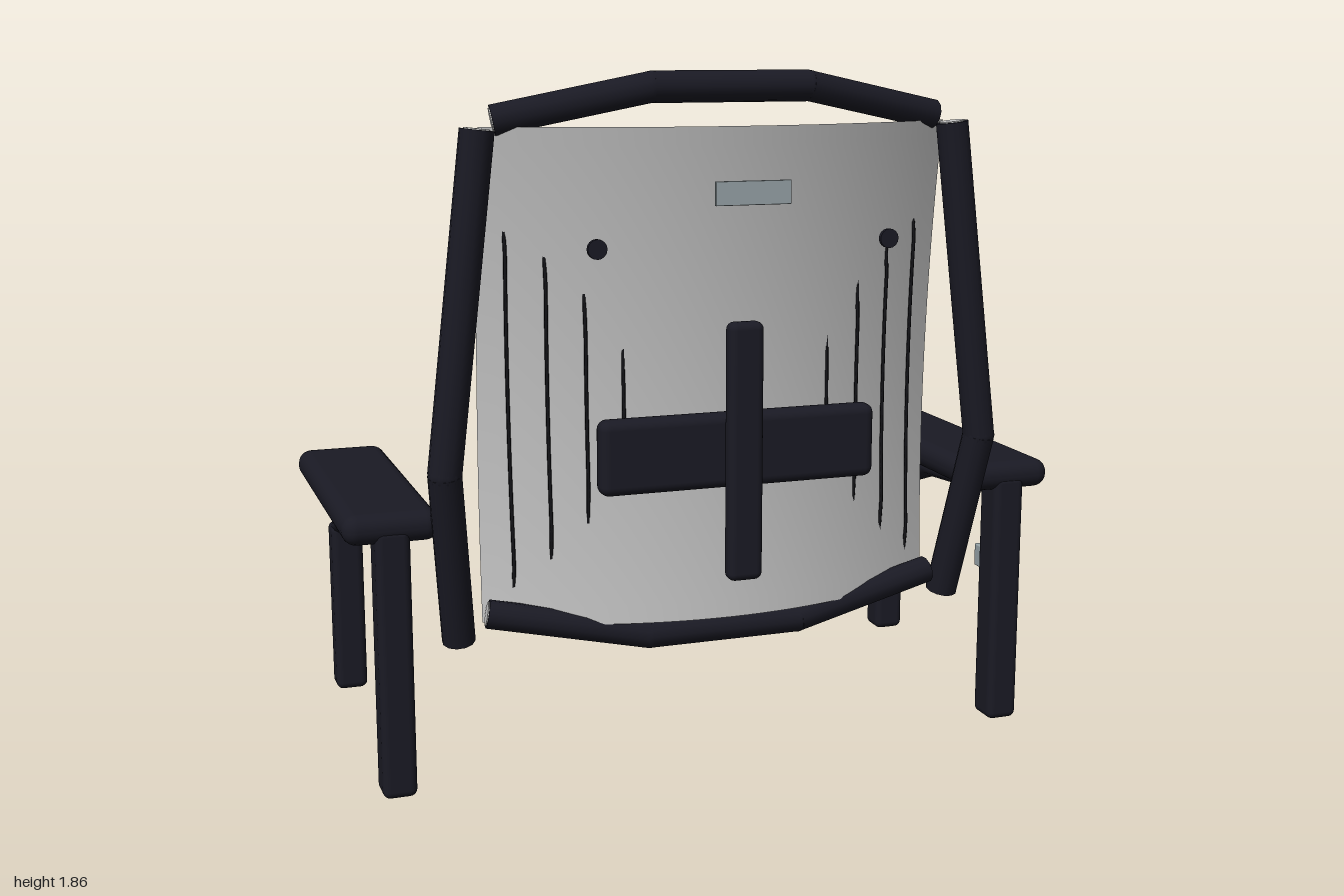
import * as THREE from 'three';
import { RoundedBoxGeometry } from 'three/addons/geometries/RoundedBoxGeometry.js';

const mat = (name, color) => {
  const m = new THREE.MeshStandardMaterial({ color });
  m.name = name;
  return m;
};
const V = (x, y, z) => new THREE.Vector3(x, y, z);
const { smoothstep, clamp, lerp } = THREE.MathUtils;

// depth of the saddle-shaped back shell at a point
const shellZ = (x, y) => {
  const t = (y - 0.43) / 1.29;
  return 0.22 + 0.165 * (t - 0.3) ** 2 + 0.168 * (1 - (x / 0.635) ** 2);
};

export function createModel() {
  const dark = mat('charcoal', 0x1a1a24);
  const grey = mat('shellGrey', 0xc4c4c4);
  grey.side = THREE.DoubleSide;
  const steel = mat('steelGrey', 0x98a4a8);
  const black = mat('wireBlack', 0x141418);
  const model = new THREE.Group();
  model.name = 'chair';

  const add = (name, geometry, material, parent = model) => {
    const m = new THREE.Mesh(geometry, material);
    m.name = name;
    parent.add(m);
    return m;
  };
  const box = (name, size, pos, radius, material = dark, parent = model) => {
    const m = add(name, new RoundedBoxGeometry(...size, 3, radius), material, parent);
    m.position.set(...pos);
    return m;
  };
  // straight bars with round knuckles at the bends
  const bar = (name, points, radius, parent = model) => {
    const group = new THREE.Group();
    group.name = name;
    parent.add(group);
    for (let i = 0; i < points.length - 1; i++) {
      const a = points[i], b = points[i + 1];
      const dir = b.clone().sub(a);
      const seg = add(name + 'Section', new THREE.CylinderGeometry(radius, radius, dir.length(), 12), dark, group);
      seg.position.copy(a).lerp(b, 0.5);
      seg.quaternion.setFromUnitVectors(V(0, 1, 0), dir.normalize());
      if (i > 0) add(name + 'Bend', new THREE.SphereGeometry(radius, 12, 8), dark, group).position.copy(a);
    }
    return group;
  };
  // pale disc closing the end of a bar that arrives from another point
  const endCap = (name, end, from, radius, parent) => {
    const cap = add(name, new THREE.CylinderGeometry(radius, radius, 0.006, 12), grey, parent);
    cap.position.copy(end);
    cap.quaternion.setFromUnitVectors(V(0, 1, 0), end.clone().sub(from).normalize());
  };
  const wire = (name, points, parent) =>
    add(name, new THREE.TubeGeometry(new THREE.CatmullRomCurve3(points), 48, 0.005, 5), black, parent);

  // curved back shell
  const shell = new THREE.PlaneGeometry(1.27, 1.29, 28, 28);
  shell.translate(0, 1.075, 0);
  const p = shell.attributes.position;
  for (let i = 0; i < p.count; i++) p.setZ(i, shellZ(p.getX(i), p.getY(i)));
  shell.computeVertexNormals();
  add('backShell', shell, grey);

  // frame around the shell
  const topRail = [V(-0.6, 1.735, 0.305), V(-0.21, 1.815, 0.375), V(0.21, 1.815, 0.375), V(0.6, 1.735, 0.305)];
  const bottomRail = [V(-0.63, 0.465, 0.275), V(-0.21, 0.388, 0.345), V(0.21, 0.388, 0.345), V(0.63, 0.465, 0.275)];
  bar('topRail', topRail, 0.04);
  bar('bottomRail', bottomRail, 0.038);
  for (const [end, from] of [[0, 1], [3, 2]]) {
    endCap('topRailCap', topRail[end], topRail[from], 0.032, model);
    endCap('bottomRailCap', bottomRail[end], bottomRail[from], 0.032, model);
  }

  for (const s of [-1, 1]) {
    const side = new THREE.Group();
    side.name = s > 0 ? 'leftSide' : 'rightSide';
    model.add(side);
    const rail = [V(s * 0.645, 1.715, 0.335), V(s * 0.748, 0.86, 0.345), V(s * 0.7, 0.39, 0.24)];
    bar('sideRail', rail, 0.044, side);
    endCap('sideRailCap', rail[0], rail[1], 0.034, side);

    // armrest, legs and brace
    box('armrest', [0.25, 0.08, 0.85], [s * 0.875, 0.72, -0.115], 0.038, dark, side);
    box('frontLeg', [0.09, 0.72, 0.1], [s * 0.875, 0.36, 0.26], 0.02, dark, side);
    box('rearLeg', [0.09, 0.5, 0.088], [s * 0.875, 0.29, -0.492], 0.02, dark, side);
    const brace = bar('armBrace', [V(0, 0.675, 0.2), V(0, 0.645, -0.165), V(0, 0.53, -0.49)], 0.028, side);
    brace.position.x = s * 0.875;
    brace.scale.x = 1.5;
    box('legClip', [0.028, 0.065, 0.08], [s * 0.875, 0.45, 0.175], 0.004, steel, side);
    // round stud
    const stud = add('stud', new THREE.CylinderGeometry(0.025, 0.025, 0.012, 16), dark, side);
    stud.rotation.x = Math.PI / 2;
    stud.position.set(s * 0.39, 1.43, 0.495);
  }

  // lumbar cross and label plate on the front
  box('lumbarBar', [0.75, 0.195, 0.065], [0, 0.895, 0.438], 0.025);
  box('spineBar', [0.094, 0.675, 0.052], [0, 0.895, 0.486], 0.02);
  box('backPlate', [0.2, 0.06, 0.0095], [0, 1.56, 0.538], 0.002, steel);

  // wire mesh behind the shell; outer uprights pass through to the front
  const mesh = new THREE.Group();
  mesh.name = 'wireMesh';
  model.add(mesh);
  for (let i = -6; i <= 6; i++) {
    const x0 = i * 0.094, pts = [];
    for (let k = 0; k <= 36; k++) {
      const y = 0.46 + (k / 36) * 1.18;
      const x = x0 - 0.018 * (y - 1);
      const through = 0.25 * (0.7 * Math.abs(x0) - 0.19 - (y - 1) ** 2);
      const z = shellZ(x, y) + clamp(through, -0.012, 0.01);
      // upper ends sweep backwards
      pts.push(V(x, y, lerp(z, 0.25, smoothstep(y, 1.42, 1.66))));
    }
    wire('uprightWire', pts, mesh);
  }
  for (let j = 0; j < 12; j++) {
    const y = 0.51 + j * 0.1, pts = [];
    for (let k = 0; k <= 16; k++) {
      const x = -0.59 + (k / 16) * 1.18;
      pts.push(V(x, y, shellZ(x, y) - 0.012));
    }
    wire('crossWire', pts, mesh);
  }
  return model;
}
